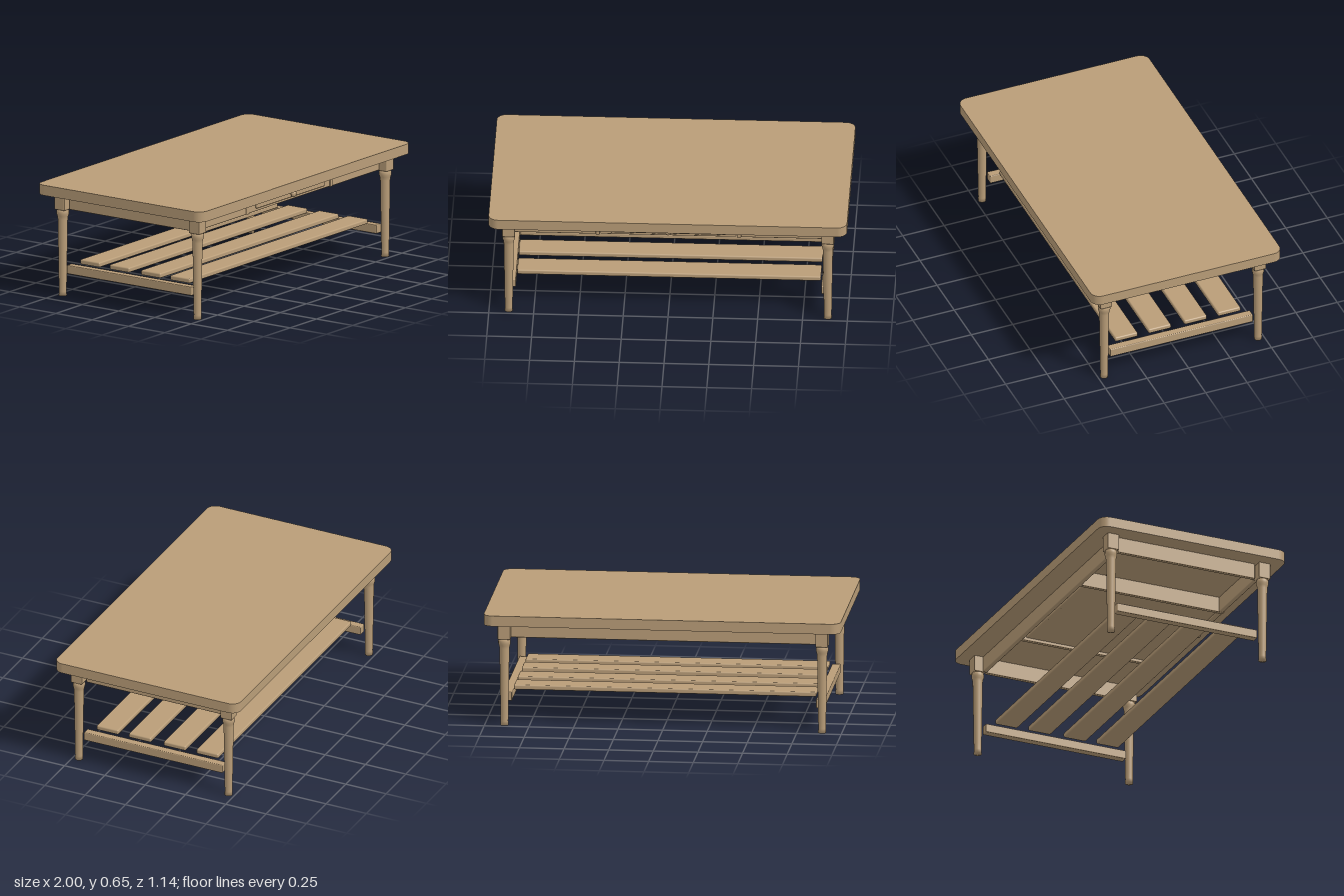
import * as THREE from 'three';
import { RoundedBoxGeometry } from 'three/addons/geometries/RoundedBoxGeometry.js';

export function createModel() {
  const table = new THREE.Group();
  table.name = 'coffeeTable';
  const wood = new THREE.MeshStandardMaterial({ color: 0xb99d78 });

  const add = (name, geometry, x = 0, y = 0, z = 0) => {
    const mesh = new THREE.Mesh(geometry, wood);
    mesh.name = name;
    mesh.position.set(x, y, z);
    table.add(mesh);
    return mesh;
  };
  // Softly rounded board given by its minimum and maximum corners
  const board = (name, [x0, y0, z0], [x1, y1, z1], r = 0.005) =>
    add(name, new RoundedBoxGeometry(x1 - x0, y1 - y0, z1 - z0, 2, r),
      (x0 + x1) / 2, (y0 + y1) / 2, (z0 + z1) / 2);

  // Table top with rounded corners
  const w = 1, d = 0.57, r = 0.055;
  const outline = new THREE.Shape();
  outline.absarc(w - r, d - r, r, 0, Math.PI / 2);
  outline.absarc(-w + r, d - r, r, Math.PI / 2, Math.PI);
  outline.absarc(-w + r, -d + r, r, Math.PI, Math.PI * 1.5);
  outline.absarc(w - r, -d + r, r, Math.PI * 1.5, Math.PI * 2);
  outline.closePath();
  const topGeometry = new THREE.ExtrudeGeometry(outline, { depth: 0.059, bevelEnabled: false, curveSegments: 8 });
  topGeometry.rotateX(-Math.PI / 2);
  add('tableTop', topGeometry, 0, 0.588, 0);

  // Turned legs under square blocks
  const legProfile = [
    [0, 0], [0.023, 0], [0.021, 0.025], [0.022, 0.06], [0.025, 0.25], [0.028, 0.44],
    [0.031, 0.458], [0.035, 0.47], [0.035, 0.484], [0.031, 0.496], [0, 0.496],
  ].map(([x, y]) => new THREE.Vector2(x, y));
  const legGeometry = new THREE.LatheGeometry(legProfile, 24);
  for (const sx of [-1, 1]) {
    for (const sz of [-1, 1]) {
      const x = sx * 0.89, z = sz * 0.464;
      add('leg', legGeometry, x, 0, z);
      board('legBlock', [x - 0.035, 0.495, z - 0.035], [x + 0.035, 0.589, z + 0.035]);
    }
  }

  // Side aprons, lower stretchers and drawer dividers
  for (const s of [-1, 1]) {
    const pair = (name, x0, x1, y0, y1, z0, z1) =>
      board(name, [Math.min(s * x0, s * x1), y0, z0], [Math.max(s * x0, s * x1), y1, z1]);
    pair('sideApron', 0.865, 0.89, 0.498, 0.589, -0.42, 0.42);
    pair('stretcher', 0.852, 0.9, 0.13, 0.18, -0.43, 0.43);
    pair('drawerDivider', 0.382, 0.407, 0.498, 0.589, -0.43, 0.455);
    pair('frontApron', 0.405, 0.865, 0.498, 0.589, 0.42, 0.447);
  }
  board('backApron', [-0.865, 0.498, -0.447], [0.865, 0.589, -0.42]);

  // Drawer with raised panel and knob
  board('drawerFront', [-0.38, 0.502, 0.42], [0.38, 0.585, 0.452]);
  board('drawerPanel', [-0.322, 0.518, 0.445], [0.322, 0.565, 0.462]);
  board('drawerBottom', [-0.38, 0.512, -0.39], [0.38, 0.524, 0.425]);
  board('drawerBack', [-0.38, 0.512, -0.4], [0.38, 0.575, -0.385]);
  const knobProfile = [
    [0.008, 0], [0.008, 0.008], [0.016, 0.013], [0.019, 0.02], [0.016, 0.028], [0.009, 0.033], [0, 0.034],
  ].map(([x, y]) => new THREE.Vector2(x, y));
  add('drawerKnob', new THREE.LatheGeometry(knobProfile, 20), 0, 0.541, 0.46).rotation.x = Math.PI / 2;

  // Shelf slats
  for (const z of [-0.31, -0.107, 0.109, 0.31]) {
    board('shelfSlat', [-0.847, 0.182, z - 0.068], [0.847, 0.21, z + 0.068], 0.008);
  }

  return table;
}
